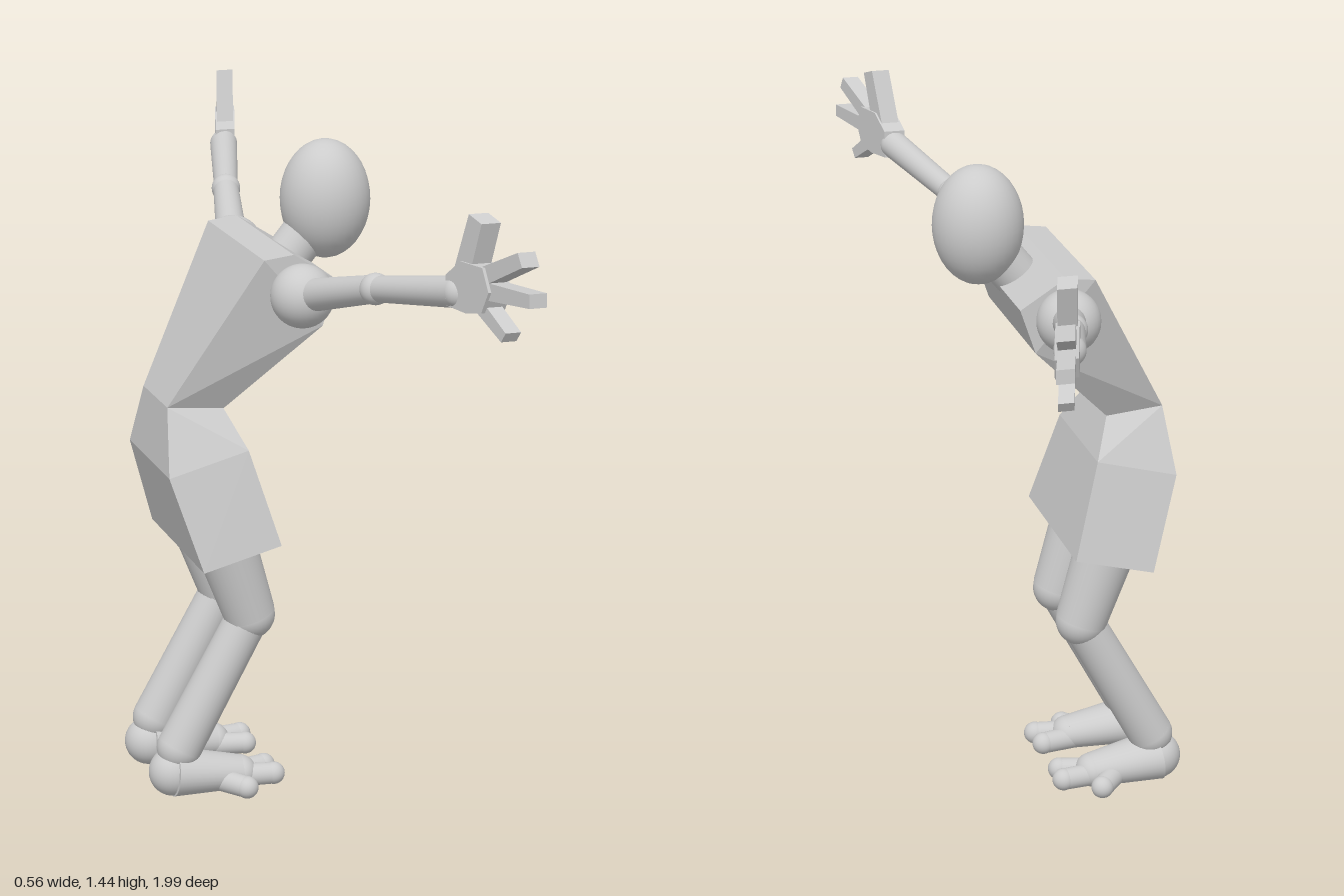
import * as THREE from 'three';
import { ConvexGeometry } from 'three/addons/geometries/ConvexGeometry.js';

const smooth = new THREE.MeshStandardMaterial({ color: 0xcccccc });
const faceted = new THREE.MeshStandardMaterial({ color: 0xcccccc, flatShading: true });
const V = (x, y, z) => new THREE.Vector3(x, y, z);

function add(parent, name, geometry, material = smooth) {
  const mesh = new THREE.Mesh(geometry, material);
  mesh.name = name;
  parent.add(mesh);
  return mesh;
}

function ball(parent, name, center, r) {
  const mesh = add(parent, name, new THREE.SphereGeometry(r, 32, 20));
  mesh.position.copy(center);
  return mesh;
}

// Tapered round limb from a to b
function limb(parent, name, a, b, ra, rb) {
  const dir = b.clone().sub(a);
  const mesh = add(parent, name, new THREE.CylinderGeometry(rb, ra, dir.length(), 32));
  mesh.position.copy(a).add(b).multiplyScalar(0.5);
  mesh.quaternion.setFromUnitVectors(V(0, 1, 0), dir.normalize());
  return mesh;
}

// Faceted block from a side profile of [x, y, half width]
function block(parent, name, profile) {
  const pts = profile.flatMap(([x, y, w]) => [V(x, y, w), V(x, y, -w)]);
  return add(parent, name, new ConvexGeometry(pts), faceted);
}

// Slab lying in the slanted plane of the hand, from a [z, y] outline
function handSlab(parent, name, outline, side, t) {
  const pts = outline.flatMap(([z, y]) => {
    const x = 0.087 + (z - 0.5) * 0.3;
    return [V(x - t, y, z * side), V(x + t, y, z * side)];
  });
  add(parent, name, new ConvexGeometry(pts), faceted);
}

// Outline of a straight finger between two [z, y] points
function fingerOutline([z0, y0], [z1, y1], w0, w1) {
  const len = Math.hypot(z1 - z0, y1 - y0);
  const nz = -(y1 - y0) / len, ny = (z1 - z0) / len;
  return [
    [z0 + nz * w0, y0 + ny * w0], [z0 - nz * w0, y0 - ny * w0],
    [z1 + nz * w1, y1 + ny * w1], [z1 - nz * w1, y1 - ny * w1],
  ];
}

function arm(side) {
  const g = new THREE.Group();
  g.name = side > 0 ? 'leftArm' : 'rightArm';
  const shoulder = V(0.02, 1.153, 0.243 * side);
  const elbow = V(0.087, 1.225, 0.505 * side);
  const wrist = V(0.163, 1.275, 0.765 * side);
  ball(g, 'shoulder', shoulder, 0.068);
  limb(g, 'upperArm', shoulder, elbow, 0.036, 0.029);
  ball(g, 'elbow', elbow, 0.033);
  limb(g, 'forearm', elbow, wrist, 0.027, 0.032);
  ball(g, 'wrist', wrist, 0.032);
  // Palm and four digits
  handSlab(g, 'palm', [[0.757, 1.248], [0.757, 1.31], [0.8, 1.345], [0.865, 1.345],
    [0.885, 1.3], [0.865, 1.255], [0.82, 1.245]], side, 0.024);
  handSlab(g, 'thumb', fingerOutline([0.795, 1.31], [0.836, 1.435], 0.023, 0.02), side, 0.02);
  handSlab(g, 'upperFinger', fingerOutline([0.845, 1.32], [0.965, 1.38], 0.018, 0.015), side, 0.018);
  handSlab(g, 'middleFinger', fingerOutline([0.85, 1.298], [0.995, 1.306], 0.018, 0.014), side, 0.018);
  handSlab(g, 'lowerFinger', fingerOutline([0.83, 1.275], [0.92, 1.218], 0.016, 0.012), side, 0.016);
  return g;
}

function leg(side) {
  const g = new THREE.Group();
  g.name = side > 0 ? 'leftLeg' : 'rightLeg';
  const z = 0.097 * side;
  const hip = V(-0.135, 0.66, z), knee = V(-0.05, 0.405, z), ankle = V(-0.213, 0.11, z);
  ball(g, 'hip', hip, 0.07);
  limb(g, 'thigh', hip, knee, 0.073, 0.057);
  ball(g, 'knee', knee, 0.056);
  limb(g, 'shin', knee, ankle, 0.047, 0.05);
  ball(g, 'ankle', ankle, 0.05);
  // Foot tapering forward from the heel
  const heel = V(-0.228, 0.054, z), ballOfFoot = V(-0.075, 0.037, z * 1.05);
  ball(g, 'heel', heel, 0.054);
  limb(g, 'foot', heel, ballOfFoot, 0.054, 0.037).scale.z = 1.2;
  ball(g, 'footFront', ballOfFoot, 0.037).scale.z = 1.2;
  // Three splayed toes
  const toes = [
    [V(-0.1, 0.03, 0.09), V(-0.008, 0.032, 0.068)],
    [V(-0.1, 0.032, 0.11), V(-0.003, 0.033, 0.125)],
    [V(-0.13, 0.032, 0.115), V(-0.08, 0.027, 0.173)],
  ];
  for (const [a, b] of toes) {
    a.z *= side;
    b.z *= side;
    limb(g, 'toe', a, b, 0.026, 0.024);
    ball(g, 'toeTip', b, 0.025);
  }
  return g;
}

export function createModel() {
  const model = new THREE.Group();
  model.name = 'figure';
  const body = new THREE.Group();
  body.name = 'body';
  body.rotation.y = -0.018;
  body.position.z = -0.004;
  model.add(body);

  // Chest and pelvis share the narrow waist
  const waist = [[-0.233, 0.89, 0.092], [-0.107, 0.878, 0.092]];
  block(body, 'chest', [...waist, [0.08, 1.073, 0.2], [0.113, 1.17, 0.2],
    [0.015, 1.232, 0.2], [-0.05, 1.224, 0.2]]);
  block(body, 'pelvis', [...waist, [-0.07, 0.797, 0.155], [-0.01, 0.59, 0.2],
    [-0.185, 0.545, 0.2], [-0.248, 0.75, 0.155]]);

  // Neck and egg-shaped head
  const neckBase = V(0.075, 1.19, 0);
  ball(body, 'neckBase', neckBase, 0.05);
  limb(body, 'neck', neckBase, V(0.14, 1.27, 0), 0.05, 0.05);
  ball(body, 'head', V(0.153, 1.303, 0), 0.13).scale.set(0.755, 1, 0.755);

  for (const side of [1, -1]) body.add(arm(side), leg(side));
  return model;
}
